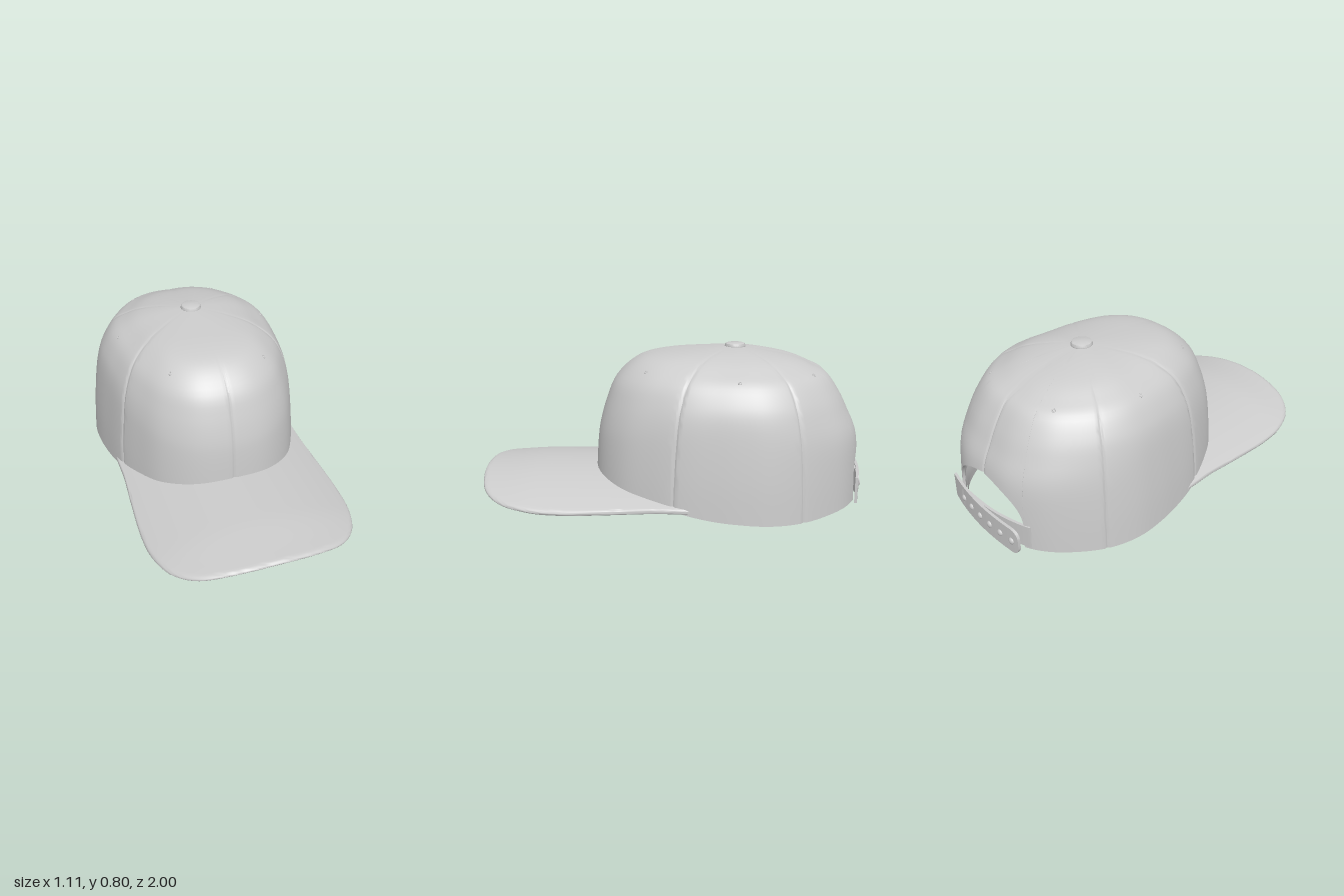
import * as THREE from 'three';
import { toCreasedNormals } from 'three/addons/utils/BufferGeometryUtils.js';

const CZ = -0.32; // z of the crown's axis
const rad = THREE.MathUtils.degToRad;
const ARCH = rad(157.5); // where the back opening starts
const SEAMS = [0, rad(57), rad(122), Math.PI];
const material = new THREE.MeshStandardMaterial({ color: 0xcccccc });
const thinMaterial = new THREE.MeshStandardMaterial({ color: 0xcccccc, side: THREE.DoubleSide });

const spline = (pts) => new THREE.SplineCurve(pts.map(([x, y]) => new THREE.Vector2(x, y)));
const table = (values) => {
  const curve = spline(values.map((v, i) => [i, v]));
  return (t) => curve.getPoint(t).y;
};

// Plan radius and hem height, every 15 degrees from front to back
const planRadius = table([0.735, 0.732, 0.692, 0.628, 0.584, 0.556, 0.555, 0.573, 0.592, 0.614, 0.645, 0.658, 0.645]);
const hemHeight = table([0.155, 0.146, 0.112, 0.078, 0.045, 0.02, 0.008, 0.001, 0, 0.008, 0.02, 0.03, 0.03]);

// Crown profiles from the top down: radius, height
const front = spline([[0, 0.787], [0.2, 0.775], [0.4, 0.757], [0.52, 0.72], [0.62, 0.63],
  [0.67, 0.52], [0.705, 0.4], [0.72, 0.3], [0.73, 0.15], [0.735, -0.01]]);
const side = spline([[0, 0.787], [0.15, 0.772], [0.27, 0.742], [0.35, 0.702], [0.42, 0.655],
  [0.47, 0.58], [0.5, 0.5], [0.522, 0.37], [0.543, 0.18], [0.555, -0.01]]);
const back = spline([[0, 0.787], [0.15, 0.766], [0.3, 0.735], [0.4, 0.693], [0.47, 0.655],
  [0.53, 0.57], [0.575, 0.48], [0.625, 0.36], [0.64, 0.18], [0.645, -0.01]]);

// Point on the crown at an angle from the front, t = 0 at the top to 1 at the hem
function crownPoint(angle, t, inset = 0) {
  const a = Math.abs(angle), c = Math.cos(a);
  const wf = Math.max(c, 0) ** 2, wb = Math.max(-c, 0) ** 2, ws = 1 - wf - wb;
  const f = front.getPoint(t), s = side.getPoint(t), b = back.getPoint(t);
  let r = planRadius(a / Math.PI) * (wf * f.x / 0.735 + ws * s.x / 0.555 + wb * b.x / 0.645);
  for (const seam of SEAMS) { // stitched grooves
    r -= 0.006 * Math.min(1, r / 0.2) * Math.exp(-(((a - seam) * r / 0.007) ** 2));
  }
  r = Math.max(r - inset, 0.008);
  const y = wf * f.y + ws * s.y + wb * b.y - inset * (1 - t);
  return new THREE.Vector3(Math.sin(angle) * r, y, CZ + Math.cos(angle) * r);
}

// Profile parameter at which the crown reaches height y
function heightToT(angle, y) {
  let lo = 0, hi = 1;
  for (let i = 0; i < 22; i++) {
    const mid = (lo + hi) / 2;
    if (crownPoint(angle, mid).y > y) lo = mid; else hi = mid;
  }
  return lo;
}

// Hem height including the arched opening at the back
function hem(angle) {
  const a = Math.abs(angle);
  if (a < ARCH) return hemHeight(a / Math.PI);
  const k = Math.min(1, (Math.PI - a) / (Math.PI - ARCH));
  return 0.14 + 0.2 * Math.sqrt(1 - k * k);
}

// Skin a list of columns of points
function loft(columns, crease = 0.7) {
  const n = columns[0].length, index = [];
  for (let i = 0; i < columns.length - 1; i++) {
    for (let j = 0; j < n - 1; j++) {
      const a = i * n + j, d = a + n;
      index.push(a, a + 1, d + 1, a, d + 1, d);
    }
  }
  const g = new THREE.BufferGeometry().setFromPoints(columns.flat());
  g.setIndex(index);
  return toCreasedNormals(g, crease);
}

function add(group, name, geometry, mat = material) {
  const mesh = new THREE.Mesh(geometry, mat);
  mesh.name = name;
  group.add(mesh);
  return mesh;
}

const range = (n) => Array.from({ length: n + 1 }, (_, i) => i / n);

function crownGeometry() {
  let half = range(72).map((u) => u * Math.PI).filter((a) => a < ARCH - 0.005);
  for (const s of SEAMS) for (const d of [-0.024, -0.016, -0.008, 0, 0.008, 0.016, 0.024]) half.push(s + d);
  half.push(ARCH - 1e-3);
  range(24).forEach((u) => half.push(Math.PI - (Math.PI - ARCH) * Math.cos(u * Math.PI / 2)));
  half = half.filter((a) => a > 1e-4 && a <= Math.PI).sort((a, b) => a - b)
    .filter((a, i, l) => i === 0 || a - l[i - 1] > 1e-4);
  const angles = [...half.map((a) => -a).reverse(), 0, ...half];
  return loft(angles.map((a) => {
    const end = heightToT(a, hem(a));
    const ts = range(32).map((u) => 0.01 + (end - 0.01) * u);
    return [...ts.map((t) => crownPoint(a, t)), ...ts.reverse().map((t) => crownPoint(a, t, 0.014))];
  }));
}

// Inner band round the hem, ending at the opening
function sweatbandGeometry() {
  return loft(range(80).map((u) => {
    const a = rad(-156 + 312 * u);
    const y = hem(a);
    return [0.11, 0.08, 0.04, 0.006].map((h) => crownPoint(a, heightToT(a, y + h), h === 0.11 ? 0.016 : 0.024));
  }));
}

// Curved peak between the crown and its outer outline
function brimGeometry() {
  const end = rad(67);
  const tip = crownPoint(end, heightToT(end, hem(end)), 0.004);
  const sidePts = [[0.2, 0.984], [0.36, 0.935], [0.46, 0.84], [0.515, 0.7], [0.53, 0.55], [0.523, 0.3],
    [0.513, 0.1], [0.515, 0], [tip.x, tip.z]];
  const pts = [...sidePts.map(([x, z]) => [-x, z]).reverse(), [0, 1], ...sidePts];
  const outline = new THREE.CatmullRomCurve3(pts.map(([x, z]) => new THREE.Vector3(x, 0, z)));
  const vs = [...range(16).map((v) => v * 0.95), 0.97, 0.985, 0.995, 1];
  return loft(range(96).map((u) => {
    const a = end * (2 * u - 1);
    const inner = crownPoint(a, heightToT(a, hem(a)), 0.012);
    const outer = outline.getPointAt(u);
    const width = Math.hypot(outer.x - inner.x, outer.z - inner.z);
    const at = (v, sign) => {
      const x = THREE.MathUtils.lerp(inner.x, outer.x, v);
      const z = THREE.MathUtils.lerp(inner.z, outer.z, v);
      const k = Math.min(1, (1 - v) * width / 0.025);
      const thick = 0.012 * Math.sqrt(1 - (1 - k) ** 2);
      const y = 0.16 - 0.112 * (x / 0.53) ** 2 - 0.015 * THREE.MathUtils.smoothstep(z, 0.7, 1);
      return new THREE.Vector3(x, y + sign * thick, z);
    };
    return [...vs.map((v) => at(v, 1)), ...[...vs].reverse().map((v) => at(v, -1))];
  }), 1);
}

// Bent strap from x0 to x1 with the end at x0 or x1 rounded
function strapGeometry(x0, x1, roundEnd, height, zAt) {
  const g = new THREE.BoxGeometry(1, height, 0.014, 48, 1, 1);
  const p = g.attributes.position, c = 0.045;
  for (let i = 0; i < p.count; i++) {
    const w = 0.5 - 0.5 * Math.cos((p.getX(i) + 0.5) * Math.PI);
    const x = x0 + (x1 - x0) * w;
    const d = Math.min(c, Math.abs(x - roundEnd));
    const shrink = c - Math.sqrt(c * c - (c - d) ** 2);
    const y = p.getY(i);
    p.setXYZ(i, x, 0.095 + y - Math.sign(y) * shrink, zAt(x) + p.getZ(i));
  }
  return toCreasedNormals(g, 0.6);
}

export function createModel() {
  const cap = new THREE.Group();
  cap.name = 'cap';
  add(cap, 'crown', crownGeometry());
  add(cap, 'sweatband', sweatbandGeometry(), thinMaterial);
  add(cap, 'brim', brimGeometry());

  // Top button
  const profile = [[0, 0.765], [0.052, 0.77], [0.055, 0.785], [0.05, 0.797], [0.04, 0.801], [0, 0.802]];
  const button = add(cap, 'topButton', toCreasedNormals(
    new THREE.LatheGeometry(profile.map(([x, y]) => new THREE.Vector2(x, y)), 32), 0.6));
  button.position.z = CZ;

  // Air eyelets, one on each panel
  for (const [deg, y] of [[28.6, 0.69], [90, 0.667], [148, 0.675]]) {
    for (const s of [-1, 1]) {
      const a = s * rad(deg), t = heightToT(a, y), p = crownPoint(a, t);
      const down = crownPoint(a, t + 0.01).sub(p);
      const across = crownPoint(a + 0.01, t).sub(p);
      const eyelet = add(cap, 'eyelet', new THREE.TorusGeometry(0.007, 0.003, 6, 14));
      eyelet.position.copy(p);
      eyelet.quaternion.setFromUnitVectors(new THREE.Vector3(0, 0, 1), down.cross(across).normalize());
    }
  }

  // Rear closure: outer strap with studs over a shorter under strap
  const closure = new THREE.Group();
  closure.name = 'rearClosure';
  cap.add(closure);
  const outerZ = (x) => -0.982 + 0.5 * Math.max(0, x + 0.1) ** 2 * 0.7 + 0.25 * Math.min(0, x + 0.1) ** 2;
  const underZ = (x) => -0.96 + 0.6 * Math.min(0, x - 0.02) ** 2 + 0.2 * Math.max(0, x - 0.02) ** 2;
  add(closure, 'outerStrap', strapGeometry(-0.28, 0.3, -0.28, 0.135, outerZ));
  add(closure, 'underStrap', strapGeometry(-0.28, 0.2, 0.2, 0.12, underZ));
  for (let i = 0; i < 6; i++) {
    const x = -0.235 + i * 0.082;
    const stud = add(closure, 'stud', new THREE.SphereGeometry(0.018, 16, 10));
    stud.scale.z = 0.65;
    stud.position.set(x, 0.095, outerZ(x) - 0.006);
  }
  return cap;
}
